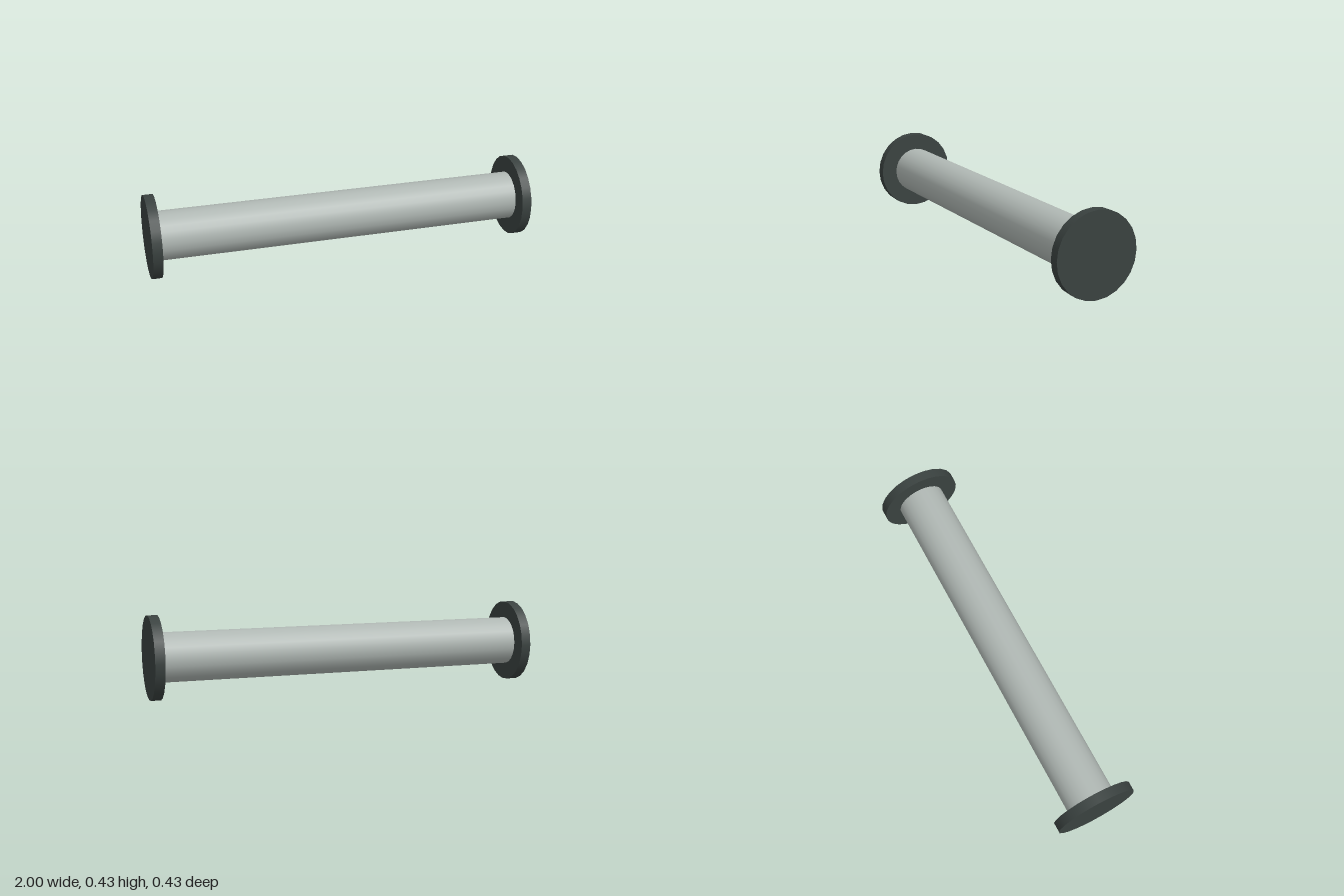
import * as THREE from 'three';

const FLANGE_R = 0.213, FLANGE_T = 0.05, PIPE_R = 0.126;

// Cylinder lying along x
function xCylinder(name, radius, length, x, color) {
  const geometry = new THREE.CylinderGeometry(radius, radius, length, 24).rotateZ(Math.PI / 2);
  const mesh = new THREE.Mesh(geometry, new THREE.MeshStandardMaterial({ color }));
  mesh.name = name;
  mesh.position.set(x, FLANGE_R, 0);
  return mesh;
}

export function createModel() {
  const group = new THREE.Group();
  group.name = 'flangedPipe';

  // Straight pipe, its ends meeting the flanges
  group.add(xCylinder('pipe', PIPE_R, 2 - 2 * FLANGE_T, 0, 0xb0b8b4));

  // Dark flange disc at each end
  for (const side of [-1, 1]) {
    const name = side > 0 ? 'leftFlange' : 'rightFlange';
    group.add(xCylinder(name, FLANGE_R, FLANGE_T, side * (1 - FLANGE_T / 2), 0x3a4240));
  }
  return group;
}
